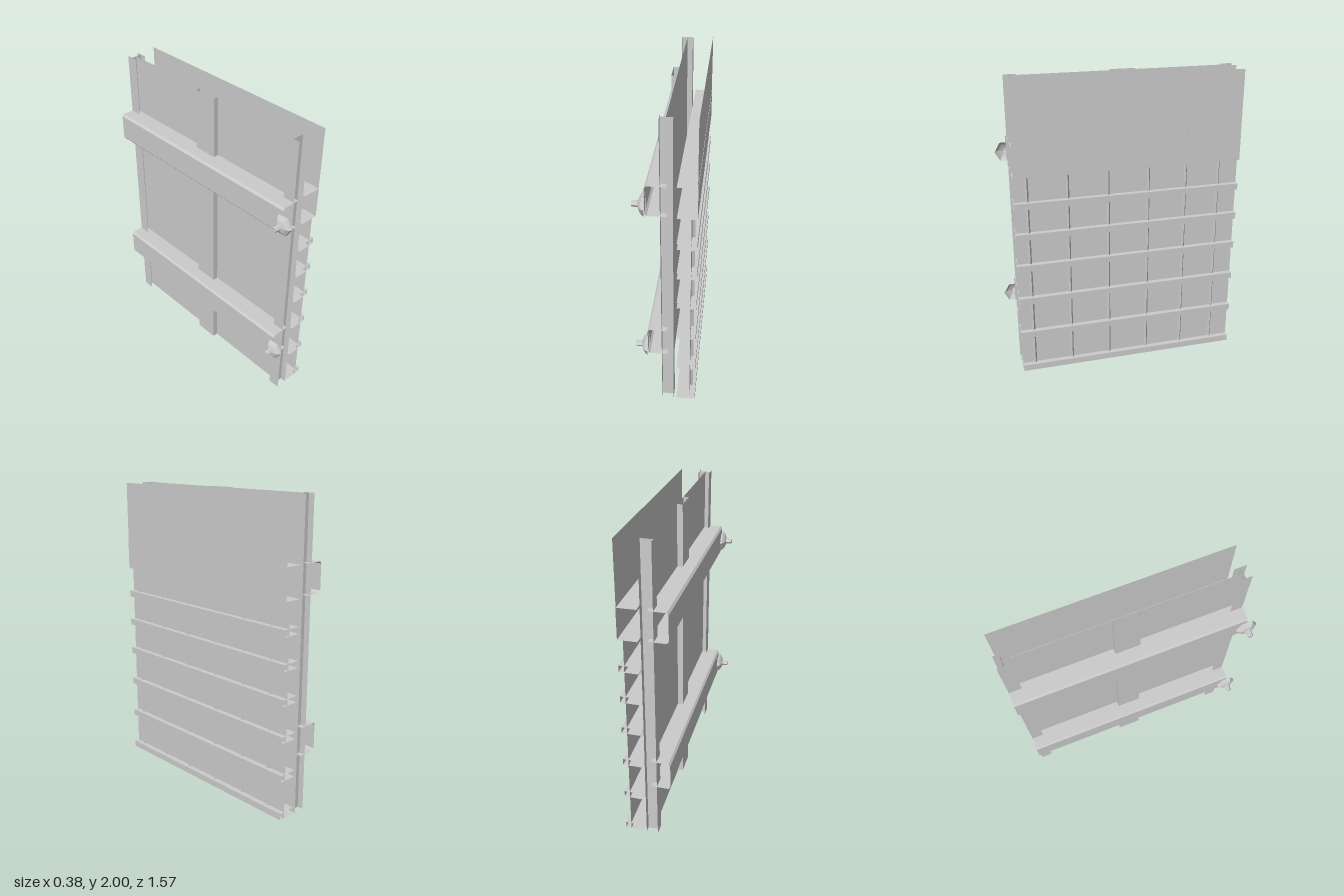
import * as THREE from 'three';

const material = new THREE.MeshStandardMaterial({ color: 0xcccccc, side: THREE.DoubleSide, flatShading: true });
const Z0 = -0.79, Z1 = 0.71;

// Thin folded sheet: a 2D profile swept along y (points are [x, z]) or along z (points are [x, y])
function fold(profile, axis, from, to) {
  const pos = [];
  const at = (p, t) => (axis === 'y' ? [p[0], t, p[1]] : [p[0], p[1], t]);
  for (let i = 0; i < profile.length - 1; i++) {
    const a = at(profile[i], from), b = at(profile[i + 1], from);
    const c = at(profile[i + 1], to), d = at(profile[i], to);
    pos.push(...a, ...b, ...c, ...a, ...c, ...d);
  }
  const g = new THREE.BufferGeometry();
  g.setAttribute('position', new THREE.Float32BufferAttribute(pos, 3));
  g.computeVertexNormals();
  return g;
}

export function createModel() {
  const model = new THREE.Group();
  const add = (name, geometry) => {
    const mesh = new THREE.Mesh(geometry, material);
    mesh.name = name;
    model.add(mesh);
    return mesh;
  };

  // Rear panel with an H-section post at each end
  add('rearPanel', fold([[0.005, Z0 + 0.04], [0.005, Z1 - 0.04]], 'y', 0, 2));
  for (const z of [Z0 + 0.04, Z1 - 0.04]) {
    add('postOuterFlange', fold([[-0.03, z - 0.04], [-0.03, z + 0.04]], 'y', 0, 2));
    add('postInnerFlange', fold([[0.045, z - 0.04], [0.045, z + 0.04]], 'y', 0, 2));
    add('postWeb', fold([[-0.03, z], [0.045, z]], 'y', 0, 2));
  }

  // Middle stiffening channel on the rear panel
  add('middleChannel', fold([[0.005, -0.12], [-0.03, -0.12], [-0.03, 0.04], [0.005, 0.04]], 'y', 0, 2));

  // Rear rails: wide channels with bevelled edges, each carrying a knob at one end
  const knobProfile = [[0.07, 0], [0.065, 0.014], [0.045, 0.028], [0.02, 0.036], [0.017, 0.075], [0, 0.075]]
    .map(([r, h]) => new THREE.Vector2(r, h));
  for (const [bottom, top] of [[0.385, 0.575], [1.41, 1.6]]) {
    add('rearRail', fold([
      [0.005, top], [-0.106, top], [-0.118, top - 0.014],
      [-0.118, bottom + 0.014], [-0.106, bottom], [0.005, bottom],
    ], 'z', Z0, Z1));
    const knob = add('railKnob', new THREE.LatheGeometry(knobProfile, 6));
    knob.rotation.z = Math.PI / 2;
    knob.position.set(-0.115, (bottom + top) / 2 - 0.015, 0.713);
  }

  // Front skin, upper plate and the deep channel between them
  add('frontSkin', fold([[0.15, Z0], [0.15, Z1]], 'y', 0.005, 1.4));
  add('upperPlate', fold([[0.183, Z0], [0.183, Z1]], 'y', 1.6, 2));
  const channel = (name, bottom, top) =>
    add(name, fold([[0.065, top], [0.185, top], [0.185, bottom], [0.065, bottom]], 'z', Z0, Z1));
  channel('upperChannel', 1.4, 1.6);

  // Horizontal channels across the skin
  for (const y of [0.005, 0.265, 0.52, 0.76, 0.98, 1.19]) channel('frontRail', y, y + 0.043);

  // Vertical V-shaped ribs
  for (const z of [0.625, 0.365, 0.1, -0.17, -0.425, -0.655]) {
    add('frontRib', fold([[0.15, z - 0.011], [0.167, z], [0.15, z + 0.011]], 'y', 0.005, 1.4));
  }
  return model;
}
